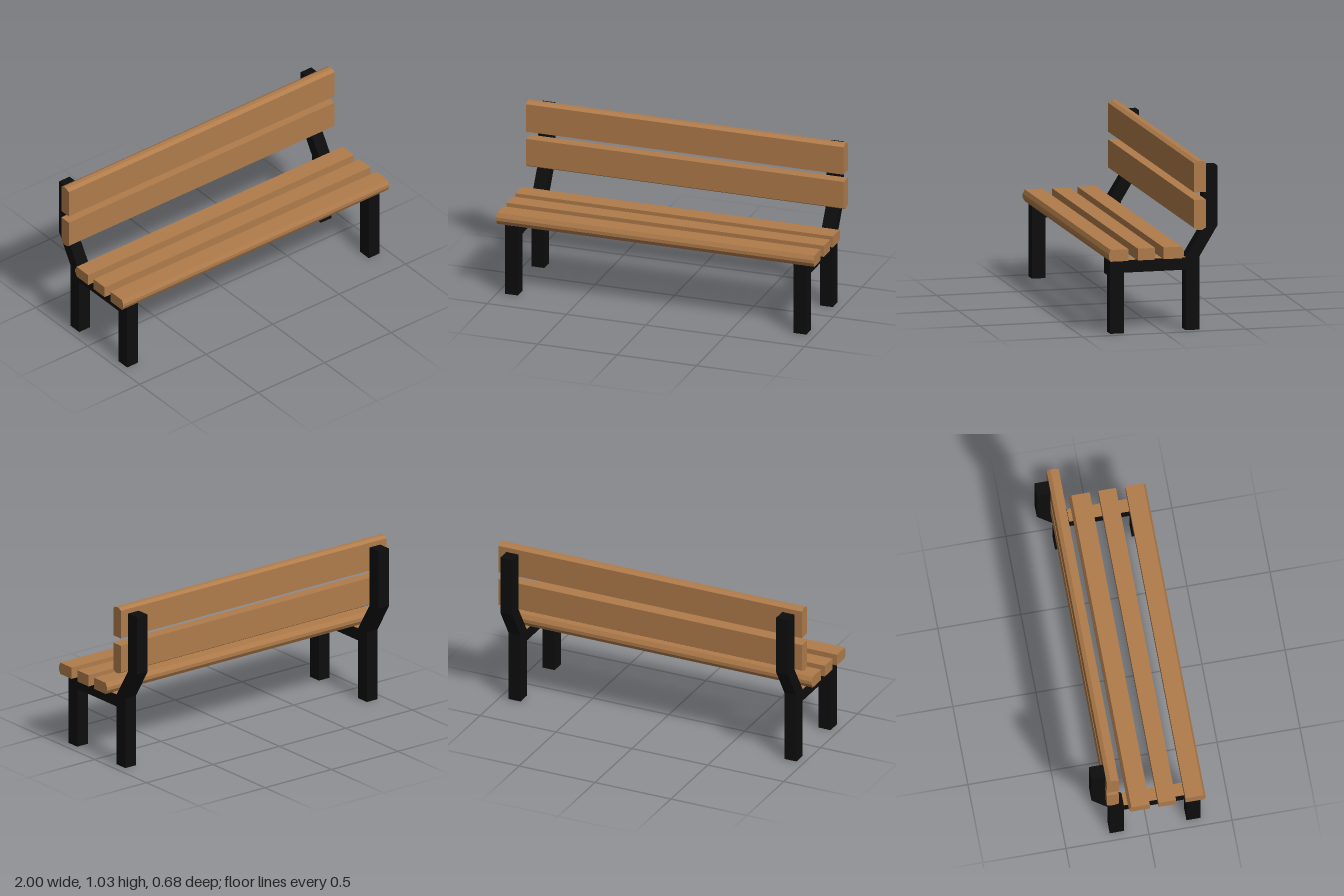
import * as THREE from 'three';

const wood = new THREE.MeshStandardMaterial({ color: 0xb07c4b });
wood.name = 'warm wood';
const iron = new THREE.MeshStandardMaterial({ color: 0x0d0d0d });
iron.name = 'black iron';

// Extrudes a side profile of [z, y] points along x, centred on xCentre
function extrudeProfile(name, points, width, xCentre, material) {
  const shape = new THREE.Shape(points.map(([z, y]) => new THREE.Vector2(-z, y)));
  const geometry = new THREE.ExtrudeGeometry(shape, { depth: width, bevelEnabled: false });
  geometry.translate(0, 0, -width / 2);
  geometry.rotateY(Math.PI / 2);
  const mesh = new THREE.Mesh(geometry, material);
  mesh.name = name;
  mesh.position.x = xCentre;
  return mesh;
}

export function createModel() {
  const bench = new THREE.Group();
  bench.name = 'parkBench';

  // Side frames: front leg, seat rail and cranked back post in one outline
  const frame = [
    [0.318, 0], [0.318, 0.44], [-0.143, 0.44], [-0.254, 0.62], [-0.254, 0.985],
    [-0.338, 0.985], [-0.338, 0.622], [-0.228, 0.44], [-0.228, 0],
    [-0.143, 0], [-0.143, 0.365], [0.234, 0.365], [0.234, 0],
  ];
  for (const [side, x] of [['right', -0.912], ['left', 0.906]]) {
    bench.add(extrudeProfile(side + 'Frame', frame, 0.08, x, iron));

    // Wooden strip on top of the seat rail
    const strip = new THREE.Mesh(new THREE.BoxGeometry(0.08, 0.003, 0.461), wood);
    strip.name = side + 'RailStrip';
    strip.position.set(x, 0.4415, 0.0875);
    bench.add(strip);
  }

  // Seat slats: the outer two have an eased outside edge
  const bottom = 0.445, top = 0.516;
  const slats = {
    frontSeatSlat: [
      [0.22, bottom], [0.329, bottom], [0.341, 0.469], [0.341, 0.49], [0.329, top], [0.22, top],
    ],
    middleSeatSlat: [[0.057, bottom], [0.163, bottom], [0.163, top], [0.057, top]],
    rearSeatSlat: [
      [0.005, bottom], [0.005, top], [-0.106, top], [-0.12, 0.49], [-0.12, 0.469], [-0.106, bottom],
    ],
    // Backrest boards: eased on the top of the upper and the bottom of the lower
    upperBackBoard: [
      [-0.182, 0.839], [-0.182, 1.014], [-0.205, 1.027], [-0.231, 1.027], [-0.254, 1.014], [-0.254, 0.839],
    ],
    lowerBackBoard: [
      [-0.182, 0.793], [-0.182, 0.624], [-0.205, 0.611], [-0.231, 0.611], [-0.254, 0.624], [-0.254, 0.793],
    ],
  };
  for (const [name, profile] of Object.entries(slats)) {
    bench.add(extrudeProfile(name, profile, 2, 0, wood));
  }

  return bench;
}
